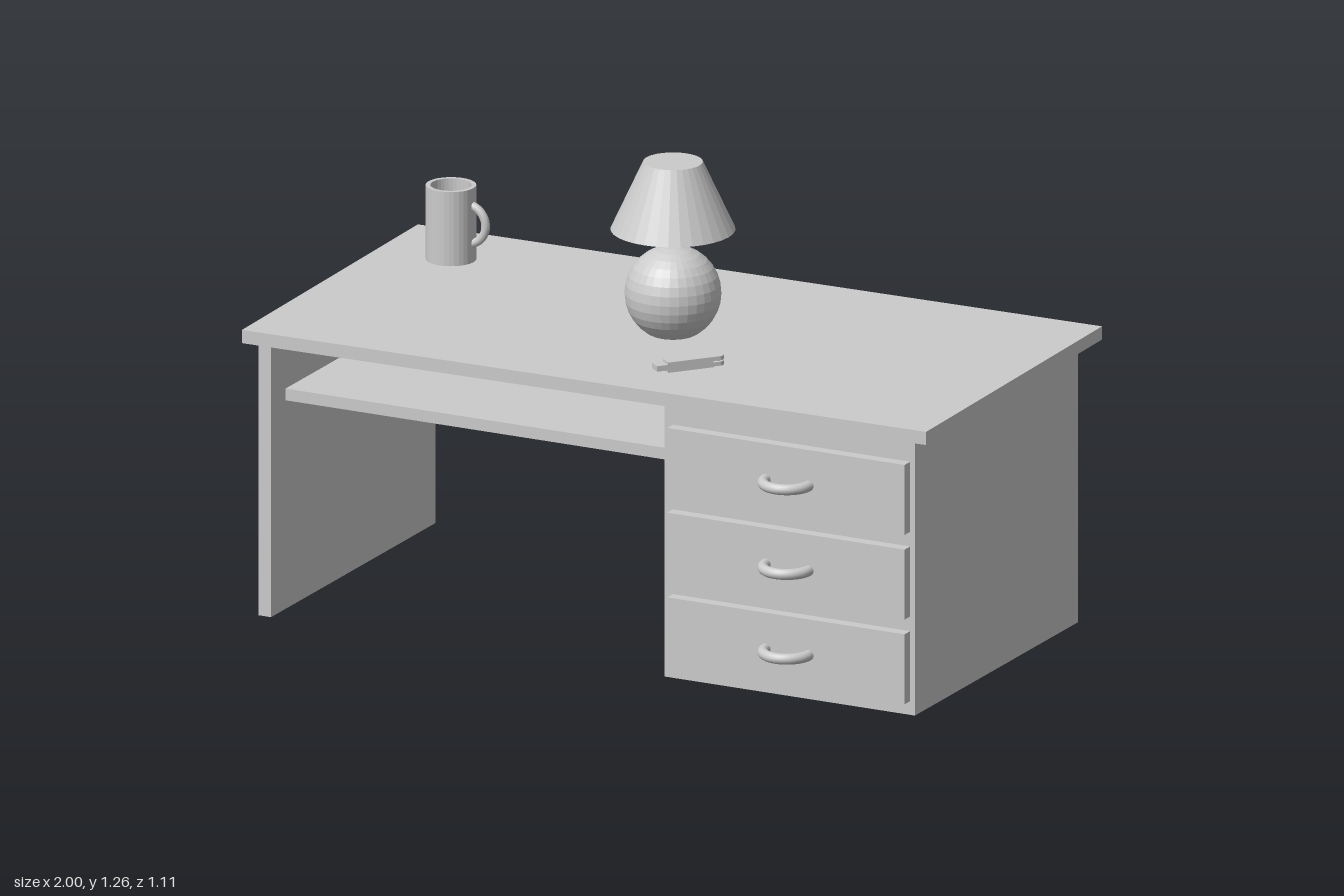
import * as THREE from 'three';

const smooth = new THREE.MeshStandardMaterial({ color: 0xcccccc });
const faceted = new THREE.MeshStandardMaterial({ color: 0xcccccc, flatShading: true });

export function createModel() {
  const model = new THREE.Group();
  model.name = 'deskWithLamp';

  const add = (name, geometry, [x, y, z], turn = 0, parent = model, material = faceted) => {
    const mesh = new THREE.Mesh(geometry, material);
    mesh.name = name;
    mesh.position.set(x, y, z);
    mesh.rotation.y = turn;
    parent.add(mesh);
    return mesh;
  };
  const box = (name, size, at, turn, parent) =>
    add(name, new THREE.BoxGeometry(...size), at, turn, parent);
  const group = (name, x, y, z, turn = 0) => {
    const g = new THREE.Group();
    g.name = name;
    g.position.set(x, y, z);
    g.rotation.y = turn;
    model.add(g);
    return g;
  };

  // The top and the carcass are turned very slightly against each other
  const topTurn = 0.0054;
  const bodyTurn = -0.0135;
  box('desktop', [1.99, 0.036, 1.027], [0, 0.775, -0.036], topTurn);
  box('sidePanel', [0.037, 0.754, 0.925], [-0.946, 0.38, -0.032], bodyTurn);
  box('shelf', [1.16, 0.032, 0.765], [-0.355, 0.588, -0.026], bodyTurn);
  box('cabinet', [0.735, 0.75, 0.917], [0.593, 0.382, -0.0125], bodyTurn);

  // Three drawers, each with a half-ring handle
  const handle = new THREE.TorusGeometry(0.063, 0.0145, 16, 32, Math.PI).rotateX(Math.PI / 2);
  for (const y of [0.602, 0.371, 0.14]) {
    box('drawerFront', [0.697, 0.191, 0.04], [0.592, y, 0.458], bodyTurn);
    add('drawerHandle', handle, [0.596, y - 0.002, 0.479], bodyTurn, model, smooth);
  }

  // Table lamp: ball base sunk a little into the top, stem, socket and shade
  const lamp = group('lamp', 0.021, 0, 0);
  add('lampBase', new THREE.SphereGeometry(0.1265, 32, 16), [0, 0.9035, 0], 0, lamp);
  add('lampStem', new THREE.CylinderGeometry(0.009, 0.009, 0.06, 16), [0, 1.04, 0], 0, lamp);
  add('lampSocket', new THREE.CylinderGeometry(0.0125, 0.0125, 0.02, 16), [0, 1.069, 0], 0, lamp);
  add('lampShade', new THREE.CylinderGeometry(0.078, 0.163, 0.184, 32), [0, 1.169, 0], 0, lamp);

  // Mug: hollow turned body and half-ring handle
  const mug = group('mug', -0.786, 0.793, -0.316);
  const profile = [[0, 0], [0.066, 0], [0.066, 0.202], [0.054, 0.202], [0.054, 0.02], [0, 0.02]];
  add('mugBody', new THREE.LatheGeometry(profile.map(([r, y]) => new THREE.Vector2(r, y)), 32),
    [0, 0, 0], 0, mug);
  add('mugHandle', new THREE.TorusGeometry(0.053, 0.0115, 12, 24, Math.PI).rotateZ(-Math.PI / 2),
    [0.048, 0.102, 0], 0, mug, smooth);

  // Small memory stick: plug, case and rounded slotted tail
  const stick = group('memoryStick', 0.202, 0.811, 0.266, 0.862);
  box('stickPlug', [0.034, 0.015, 0.034], [-0.08, 0, 0], 0, stick);
  box('stickCase', [0.128, 0.028, 0.036], [-0.002, 0, 0], 0, stick);
  const tail = new THREE.Shape();
  tail.moveTo(0.06, -0.015);
  tail.lineTo(0.082, -0.015);
  tail.absarc(0.082, 0, 0.015, -Math.PI / 2, Math.PI / 2, false);
  tail.lineTo(0.06, 0.015);
  const plate = new THREE.ExtrudeGeometry(tail, { depth: 0.011, bevelEnabled: false, curveSegments: 8 })
    .rotateX(-Math.PI / 2);
  for (const y of [-0.013, 0.002]) add('stickTailPlate', plate, [0, y, 0], 0, stick);
  add('stickTailPin', new THREE.CylinderGeometry(0.008, 0.008, 0.01, 12), [0.08, 0, 0], 0, stick);

  return model;
}
